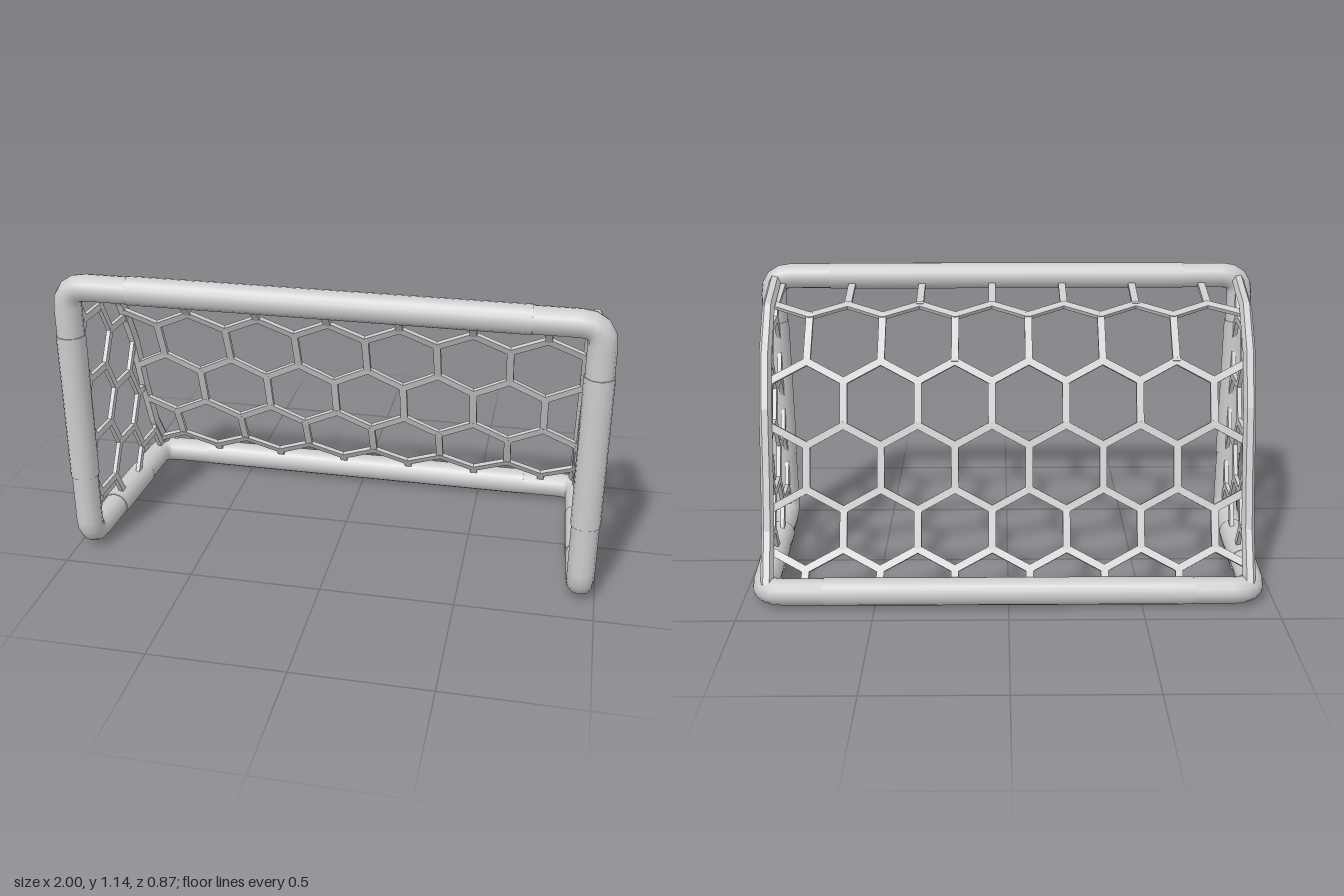
import * as THREE from 'three';
import { mergeGeometries } from 'three/addons/utils/BufferGeometryUtils.js';

const V = (x, y, z) => new THREE.Vector3(x, y, z);
const PIPE = 0.05, SLEEVE = 0.0535;
const TOP = 1.086, BASE = 0.056, FRONT = 0.381, BACK = -0.381;
const FRONT_X = 0.944, BACK_X = 0.914;

// Curve that passes exactly through its points, one tube ring per point
class Polyline extends THREE.Curve {
  constructor(points) { super(); this.points = points; }
  getPoint(t, target = V(0, 0, 0)) {
    const n = this.points.length - 1, i = Math.min(Math.floor(t * n), n - 1);
    return target.lerpVectors(this.points[i], this.points[i + 1], t * n - i);
  }
  getUtoTmapping(u) { return u; }
}

// Loop of corners with each corner rounded
function roundedLoop(corners, cut) {
  const n = corners.length, points = [];
  corners.forEach((c, i) => {
    const toward = (p) => c.clone().add(p.clone().sub(c).setLength(cut));
    const curve = new THREE.QuadraticBezierCurve3(
      toward(corners[(i + n - 1) % n]), c, toward(corners[(i + 1) % n]));
    points.push(...curve.getPoints(4));
  });
  // start and finish in the middle of a straight
  const mid = points[0].clone().lerp(points[points.length - 1], 0.5);
  return [mid, ...points, mid.clone()];
}

// Flat strip of net between two points, facing along the normal
function strip(a, b, normal, width = 0.028, depth = 0.016) {
  const dir = b.clone().sub(a), length = dir.length();
  dir.normalize();
  const side = dir.clone().cross(normal).normalize();
  const out = side.clone().cross(dir);
  const m = new THREE.Matrix4().makeBasis(side, dir, out);
  m.setPosition(a.clone().add(b).multiplyScalar(0.5));
  return new THREE.BoxGeometry(width, length + 0.008, depth).applyMatrix4(m);
}

// Curved outline of the net from crossbar to back bar, as z, y
const profile = [[0.36, 1.077], [0.12, 1.02], [-0.03, 0.88], [-0.125, 0.69],
  [-0.195, 0.46], [-0.27, 0.255], [-0.38, 0.085]];
const rodX = (z) => 0.915 + 0.04 * z;

// Point just inside the outline, and outward normal, at a distance down it
function onProfile(x, s) {
  let i = 0, len;
  for (; ; i++) {
    len = Math.hypot(profile[i + 1][0] - profile[i][0], profile[i + 1][1] - profile[i][1]);
    if (s <= len || i === profile.length - 2) break;
    s -= len;
  }
  const [z0, y0] = profile[i], dz = (profile[i + 1][0] - z0) / len, dy = (profile[i + 1][1] - y0) / len;
  const n = V(0, -dz, dy);
  return { p: V(x, y0 + dy * s, z0 + dz * s).addScaledVector(n, -0.014), n };
}

function profileY(z) {
  for (let i = 0; i < profile.length - 1; i++) {
    const [z0, y0] = profile[i], [z1, y1] = profile[i + 1];
    if (z <= z0 && z >= z1) return y0 + (y1 - y0) * (z - z0) / (z1 - z0);
  }
  return -1;
}

// Rows of hexagons wrapped over the curved back
function backNet() {
  const parts = [], pitch = 0.28, zig = 0.076, limit = 0.9;
  const peaks = [0.2, 0.48, 0.725, 0.967, 1.19];
  const bar = (x0, s0, x1, s1) => {
    const clip = (x, s, ox, os) => {
      const cx = THREE.MathUtils.clamp(x, -limit, limit);
      return onProfile(cx, s + (os - s) * (ox === x ? 0 : (cx - x) / (ox - x)));
    };
    const a = clip(x0, s0, x1, s1), b = clip(x1, s1, x0, s0);
    parts.push(strip(a.p, b.p, a.n.add(b.n).normalize()));
  };
  peaks.forEach((s, row) => {
    for (let k = -4; k <= 4; k++) {
      const x = -0.08 + pitch * k + (row % 2 ? 0 : pitch / 2);
      const above = row ? peaks[row - 1] + zig : 0;
      if (Math.abs(x) < 0.91) bar(x, above, x, s);
      for (const d of [-1, 1]) {
        const x1 = x + d * pitch / 2;
        if (Math.min(Math.abs(x), Math.abs(x1)) < limit) bar(x, s, x1, s + zig);
      }
      const xv = x + pitch / 2;
      if (row === peaks.length - 1 && Math.abs(xv) < limit) bar(xv, s + zig, xv, 1.33);
    }
  });
  return mergeGeometries(parts);
}

// Hexagons of a side panel, trimmed by the post, the base and the outline
function sideNet(s) {
  const parts = [], h = 0.2435, e = h / Math.sqrt(3);
  const inside = (z, y) => z < 0.36 && y > 0.07 && y < profileY(z);
  const bar = (z0, y0, z1, y1) => {
    const at = (t) => [z0 + (z1 - z0) * t, y0 + (y1 - y0) * t];
    const kept = [];
    for (let i = 0; i <= 60; i++) if (inside(...at(i / 60))) kept.push(i / 60);
    if (kept.length < 4) return;
    const [a, b] = [kept[0], kept[kept.length - 1]].map(at).map(([z, y]) => V(s * rodX(z), y, z));
    parts.push(strip(a, b, V(s, 0, 0)));
  };
  for (let col = -1; col <= 3; col++) {
    for (let k = -2; k <= 5; k++) {
      const z = 0.225 - 1.5 * e * col, y = 0.2 + h * k + (col % 2 ? h / 2 : 0);
      bar(z - e / 2, y, z + e / 2, y);
      bar(z - e / 2, y, z - e, y + h / 2);
      bar(z - e / 2, y, z - e, y - h / 2);
    }
  }
  return mergeGeometries(parts);
}

export function createModel() {
  const group = new THREE.Group();
  const smooth = new THREE.MeshStandardMaterial({ color: 0xcccccc });
  const flat = new THREE.MeshStandardMaterial({ color: 0xcccccc, flatShading: true });
  const add = (name, geometry, material) => {
    const mesh = new THREE.Mesh(geometry, material);
    mesh.name = name;
    group.add(mesh);
    return mesh;
  };

  // One continuous pipe: crossbar, posts, base rails and back bar
  const corners = [
    V(FRONT_X, TOP, FRONT), V(FRONT_X, BASE, FRONT), V(BACK_X, BASE + 0.003, BACK),
    V(-BACK_X, BASE + 0.003, BACK), V(-FRONT_X, BASE, FRONT), V(-FRONT_X, TOP, FRONT)];
  const loop = roundedLoop(corners, 0.075);
  add('pipeFrame', new THREE.TubeGeometry(new Polyline(loop), loop.length - 1, PIPE, 12, false), smooth);

  // Slightly wider straight sleeves between the corner pieces
  const sleeve = (name, a, b, r = SLEEVE) => {
    const dir = b.clone().sub(a);
    const mesh = add(name, new THREE.CylinderGeometry(r, r, dir.length(), 16), smooth);
    mesh.position.copy(a).add(b).multiplyScalar(0.5);
    mesh.quaternion.setFromUnitVectors(V(0, 1, 0), dir.normalize());
  };
  sleeve('crossbarSleeve', V(-0.71, TOP, FRONT), V(0.71, TOP, FRONT), 0.052);
  sleeve('backBarSleeve', V(-0.69, BASE + 0.003, BACK), V(0.69, BASE + 0.003, BACK), 0.052);
  const railX = (z) => THREE.MathUtils.mapLinear(z, BACK, FRONT, BACK_X, FRONT_X);

  for (const [label, s] of [['left', 1], ['right', -1]]) {
    sleeve(label + 'PostSleeve', V(s * FRONT_X, 0.325, FRONT), V(s * FRONT_X, 0.9, FRONT));
    sleeve(label + 'BaseSleeve', V(s * railX(0.15), BASE, 0.15), V(s * railX(-0.14), BASE, -0.14));
    // Bent rod along the edge of the net
    const rod = new Polyline(profile.map(([z, y]) => V(s * rodX(z), y, z)));
    add(label + 'NetRod', new THREE.TubeGeometry(rod, profile.length - 1, 0.024, 6, false), flat);
    add(label + 'SideNet', sideNet(s), flat);
  }
  add('backNet', backNet(), flat);
  return group;
}
